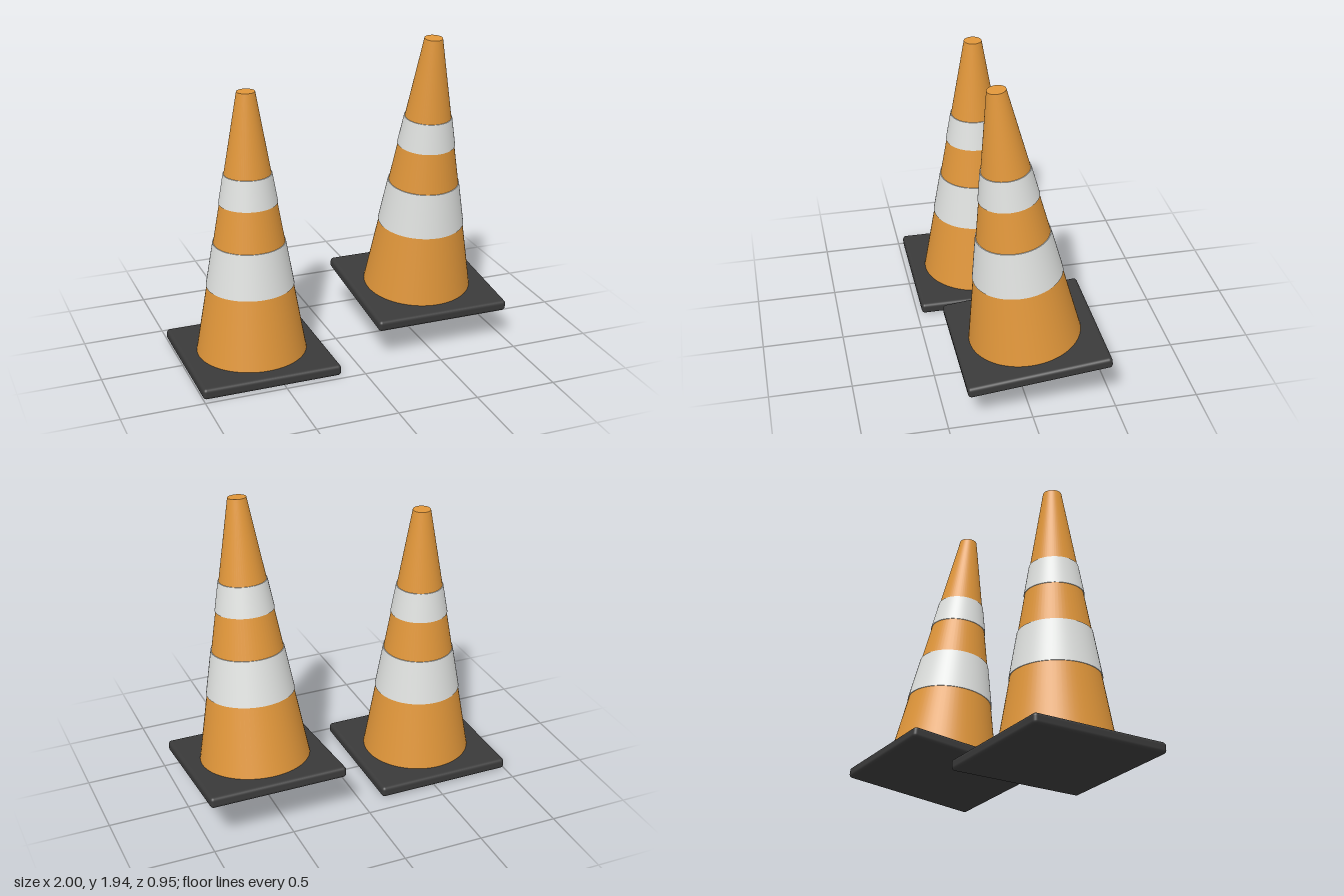
import * as THREE from 'three';
import { RoundedBoxGeometry } from 'three/addons/geometries/RoundedBoxGeometry.js';

const material = (name, color) => {
  const m = new THREE.MeshStandardMaterial({ color });
  m.name = name;
  return m;
};

const BASE = 0.86, BASE_H = 0.068, TOP = 1.705, R_BOTTOM = 0.337, R_TOP = 0.055;

// Cone radius at a given height
const radiusAt = (y) =>
  THREE.MathUtils.mapLinear(y, BASE_H, TOP, R_BOTTOM, R_TOP);

export function createModel() {
  const orange = material('orange plastic', 0xe0963a);
  const white = material('reflective white', 0xdfe1df);
  const black = material('black rubber', 0x3a3a3a);

  // Closed slice of the cone between two heights, optionally proud of it
  function slice(name, y0, y1, proud, mat) {
    const geo = new THREE.CylinderGeometry(
      radiusAt(y1) + proud, radiusAt(y0) + proud, y1 - y0, 64);
    const mesh = new THREE.Mesh(geo, mat);
    mesh.position.y = (y0 + y1) / 2;
    mesh.name = name;
    return mesh;
  }

  function trafficCone(name) {
    const cone = new THREE.Group();
    cone.name = name;
    const base = new THREE.Mesh(
      new RoundedBoxGeometry(BASE, BASE_H, BASE, 4, 0.022), black);
    base.position.y = BASE_H / 2;
    base.name = 'base';
    cone.add(
      base,
      slice('coneBody', BASE_H, TOP, 0, orange),
      slice('lowerBand', 0.5, 0.775, 0.005, white),
      slice('upperBand', 1.025, 1.207, 0.005, white));
    return cone;
  }

  const model = new THREE.Group();
  model.name = 'trafficCones';

  // Cone standing on the ground
  const standing = trafficCone('standingCone');
  standing.position.set(-0.57, 0, 0.04);

  // Raised cone, tipping forward
  const tilted = trafficCone('tiltedCone');
  tilted.position.set(0.57, 0.238, -0.05);
  tilted.rotation.x = THREE.MathUtils.degToRad(6);

  model.add(standing, tilted);
  return model;
}
